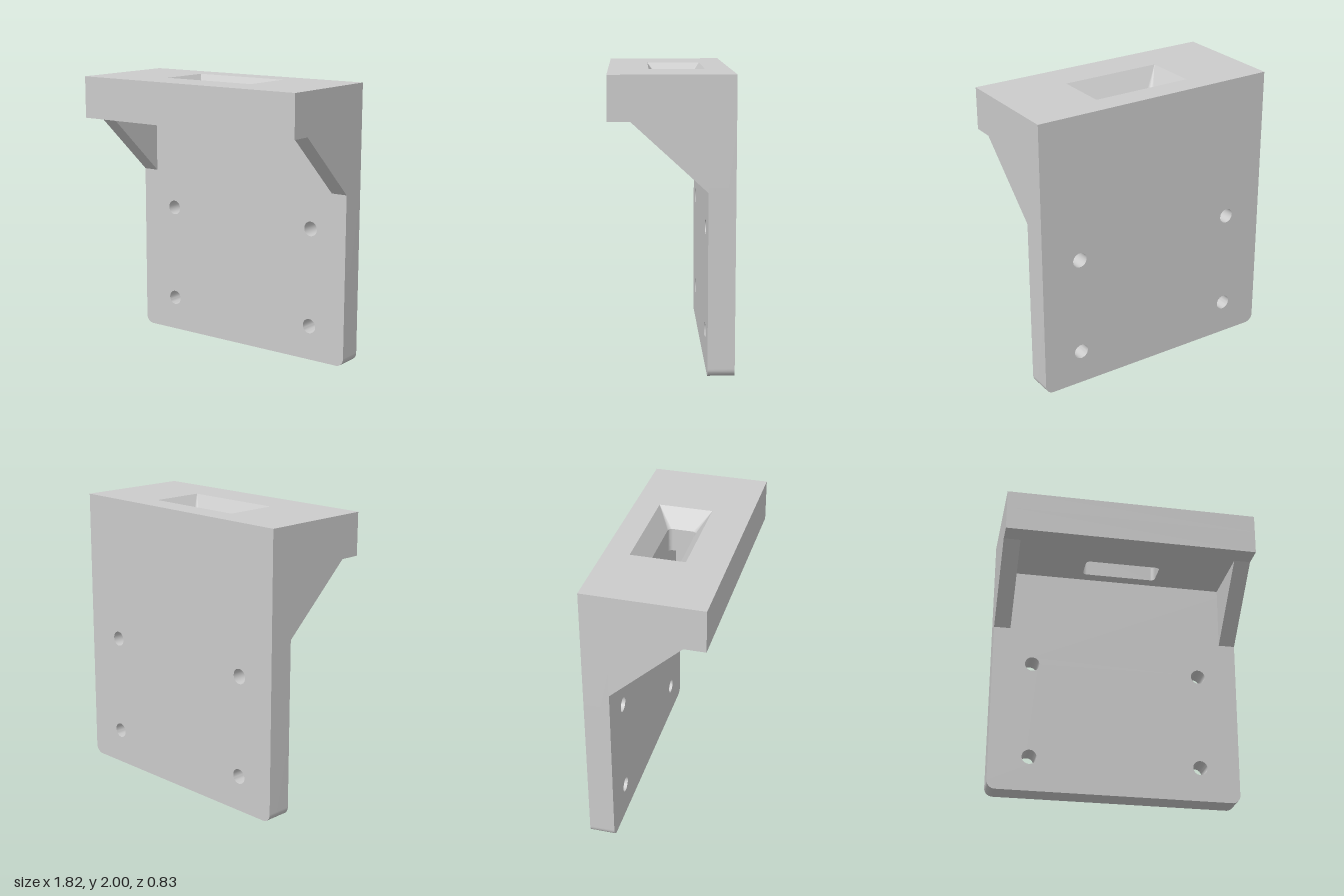
import * as THREE from 'three';
import { toCreasedNormals } from 'three/addons/utils/BufferGeometryUtils.js';

const HALF_W = 0.91, BACK = -0.415, FRONT = 0.415, PLATE_FRONT = -0.235;
const SHELF_Y = 1.7, TOP = 2;
const material = new THREE.MeshStandardMaterial({ color: 0xcccccc });

function mesh(name, geometry) {
  const m = new THREE.Mesh(geometry, material);
  m.name = name;
  return m;
}

// Upright plate: rounded bottom corners and four screw holes
function backPlate() {
  const r = 0.06;
  const shape = new THREE.Shape();
  shape.moveTo(-HALF_W, SHELF_Y);
  shape.lineTo(-HALF_W, r);
  shape.absarc(-HALF_W + r, r, r, Math.PI, Math.PI * 1.5);
  shape.absarc(HALF_W - r, r, r, Math.PI * 1.5, Math.PI * 2);
  shape.lineTo(HALF_W, SHELF_Y);
  for (const x of [-0.62, 0.62]) {
    for (const y of [0.25, 0.965]) {
      const hole = new THREE.Path();
      hole.absarc(x, y, 0.053, 0, Math.PI * 2, true);
      shape.holes.push(hole);
    }
  }
  const geo = new THREE.ExtrudeGeometry(shape, {
    depth: PLATE_FRONT - BACK, bevelEnabled: false, curveSegments: 16,
  });
  geo.translate(0, 0, BACK);
  return mesh('backPlate', toCreasedNormals(geo, 0.5));
}

// Shelf: a through slot whose upper part flares out to a sharp rectangle
function shelf() {
  const shape = new THREE.Shape([
    new THREE.Vector2(-HALF_W, -FRONT), new THREE.Vector2(HALF_W, -FRONT),
    new THREE.Vector2(HALF_W, -BACK), new THREE.Vector2(-HALF_W, -BACK),
  ]);
  const slotZ = -0.05, w = 0.275, d = 0.1, r = 0.03;
  const slot = new THREE.Path();
  [[1, 1], [-1, 1], [-1, -1], [1, -1]].forEach(([sx, sy], i) => {
    const a = i * Math.PI / 2;
    slot.absarc(sx * (w - r), -slotZ + sy * (d - r), r, a, a + Math.PI / 2);
  });
  slot.closePath();
  shape.holes.push(slot);

  const height = TOP - SHELF_Y;
  const geo = new THREE.ExtrudeGeometry(shape, {
    depth: height, steps: 2, bevelEnabled: false, curveSegments: 6,
  });
  geo.rotateX(-Math.PI / 2);

  // Raise the middle ring to the flare's foot; spread the slot's top ring
  const p = geo.attributes.position;
  for (let i = 0; i < p.count; i++) {
    const y = p.getY(i);
    if (Math.abs(y - height / 2) < 0.01) p.setY(i, 0.17);
    if (y > height - 0.01 && Math.abs(p.getX(i)) < 0.5) {
      p.setX(i, Math.sign(p.getX(i)) * 0.365);
      p.setZ(i, slotZ + Math.sign(p.getZ(i) - slotZ) * 0.19);
    }
  }
  geo.computeVertexNormals();
  geo.translate(0, SHELF_Y, 0);
  return mesh('shelf', geo);
}

// Triangular brace under the shelf, starting at x0
function gusset(name, x0) {
  const width = 0.12;
  const shape = new THREE.Shape([
    new THREE.Vector2(PLATE_FRONT, 1.24),
    new THREE.Vector2(0.265, SHELF_Y),
    new THREE.Vector2(PLATE_FRONT, SHELF_Y),
  ]);
  const geo = new THREE.ExtrudeGeometry(shape, { depth: width, bevelEnabled: false });
  geo.rotateY(-Math.PI / 2);
  geo.translate(x0 + width, 0, 0);
  return mesh(name, geo);
}

export function createModel() {
  const group = new THREE.Group();
  group.name = 'wallBracket';
  group.add(
    backPlate(),
    shelf(),
    gusset('leftGusset', HALF_W - 0.12),
    gusset('rightGusset', -HALF_W),
  );
  return group;
}
